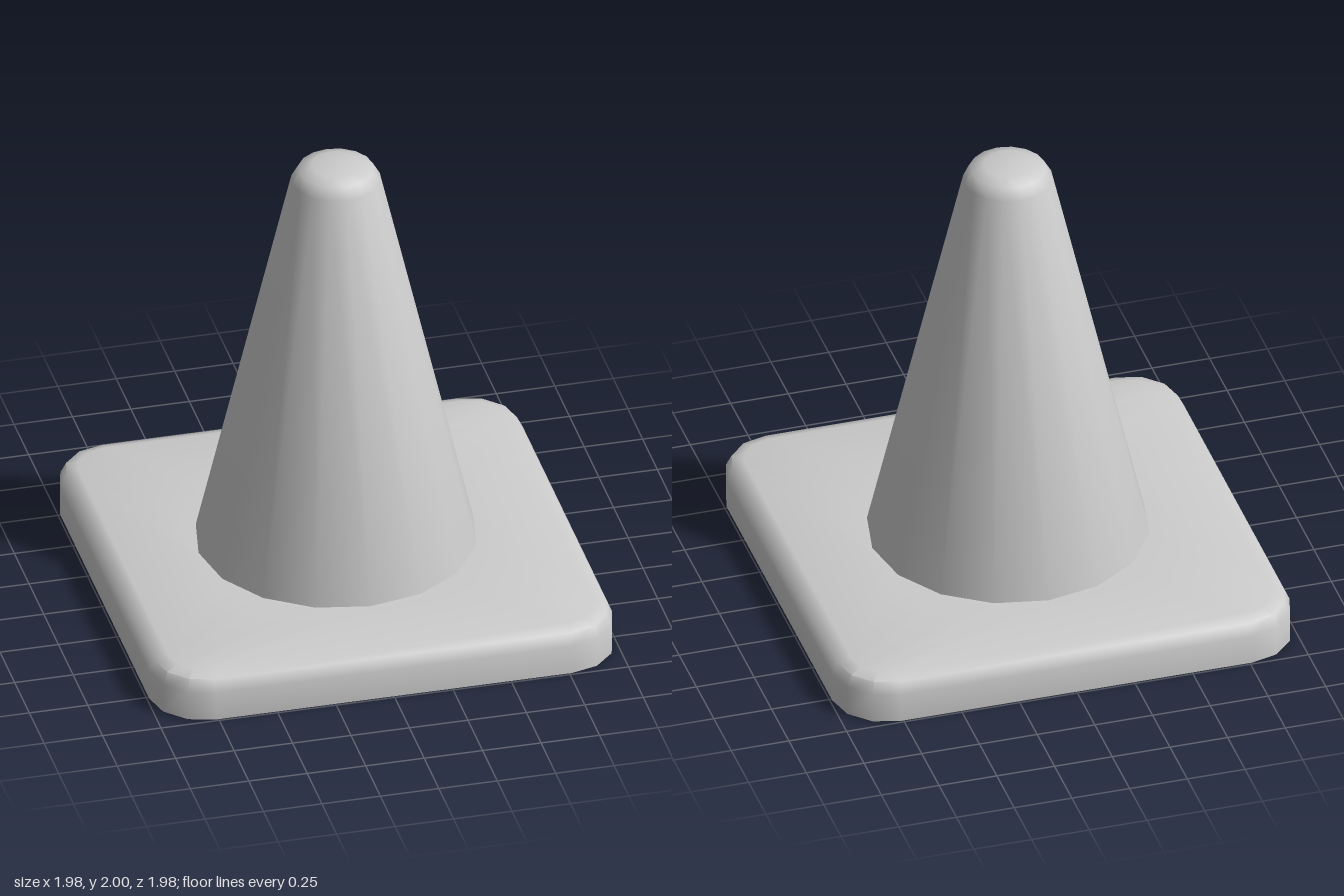
import * as THREE from 'three';
import { toCreasedNormals } from 'three/addons/utils/BufferGeometryUtils.js';

const SIDES = 16;
const CREASE = 0.8;

// Ring of 16 points on a circle
function circleRing(radius, y) {
  return Array.from({ length: SIDES }, (_, j) => {
    const a = (j / SIDES) * Math.PI * 2;
    return [radius * Math.cos(a), y, radius * Math.sin(a)];
  });
}

// Ring of 16 points on a rounded square, four per corner
function squareRing(half, y) {
  const centre = 0.76, r = half - centre;
  return Array.from({ length: SIDES }, (_, j) => {
    const corner = Math.floor(j / 4);
    const mid = Math.PI / 4 + corner * Math.PI / 2;
    const a = corner * Math.PI / 2 + (j % 4) * Math.PI / 6;
    return [
      centre * Math.sign(Math.cos(mid)) + r * Math.cos(a),
      y,
      centre * Math.sign(Math.sin(mid)) + r * Math.sin(a),
    ];
  });
}

// Skin a list of closed rings
function loft(rings) {
  const index = [];
  for (let i = 0; i < rings.length - 1; i++) {
    for (let j = 0; j < SIDES; j++) {
      const next = (j + 1) % SIDES;
      const a = i * SIDES + j, b = a + SIDES;
      const c = i * SIDES + next, d = c + SIDES;
      index.push(a, b, c, c, b, d);
    }
  }
  const geometry = new THREE.BufferGeometry();
  geometry.setAttribute('position', new THREE.Float32BufferAttribute(rings.flat(2), 3));
  geometry.setIndex(index);
  return geometry;
}

export function createModel() {
  const group = new THREE.Group();
  const material = new THREE.MeshStandardMaterial({ color: 0xcccccc });
  const add = (name, geometry) => {
    const mesh = new THREE.Mesh(toCreasedNormals(geometry, CREASE), material);
    mesh.name = name;
    group.add(mesh);
  };

  // Hollow square base: underside, inner wall, rim, outer wall, rounded top edge
  const baseProfile = [
    [0.92, 0.16], [0.945, 0.145], [0.955, 0.11], [0.955, 0], [0.99, 0],
    [0.99, 0.13], [0.965, 0.18], [0.91, 0.2],
  ];
  add('base', loft([
    circleRing(0.545, 0.16),
    ...baseProfile.map(([half, y]) => squareRing(half, y)),
    circleRing(0.588, 0.2),
  ]));

  // Hollow cone: down the inside, around the foot, up the outside to the cap
  const coneProfile = [
    [0, 1.96], [0.09, 1.96], [0.13, 1.945], [0.15, 1.91], [0.545, 0.16],
    [0.588, 0.2], [0.187, 1.93], [0.158, 1.98], [0.1, 2], [0, 2],
  ].map(([x, y]) => new THREE.Vector2(x, y));
  add('cone', new THREE.LatheGeometry(coneProfile, SIDES));

  return group;
}
